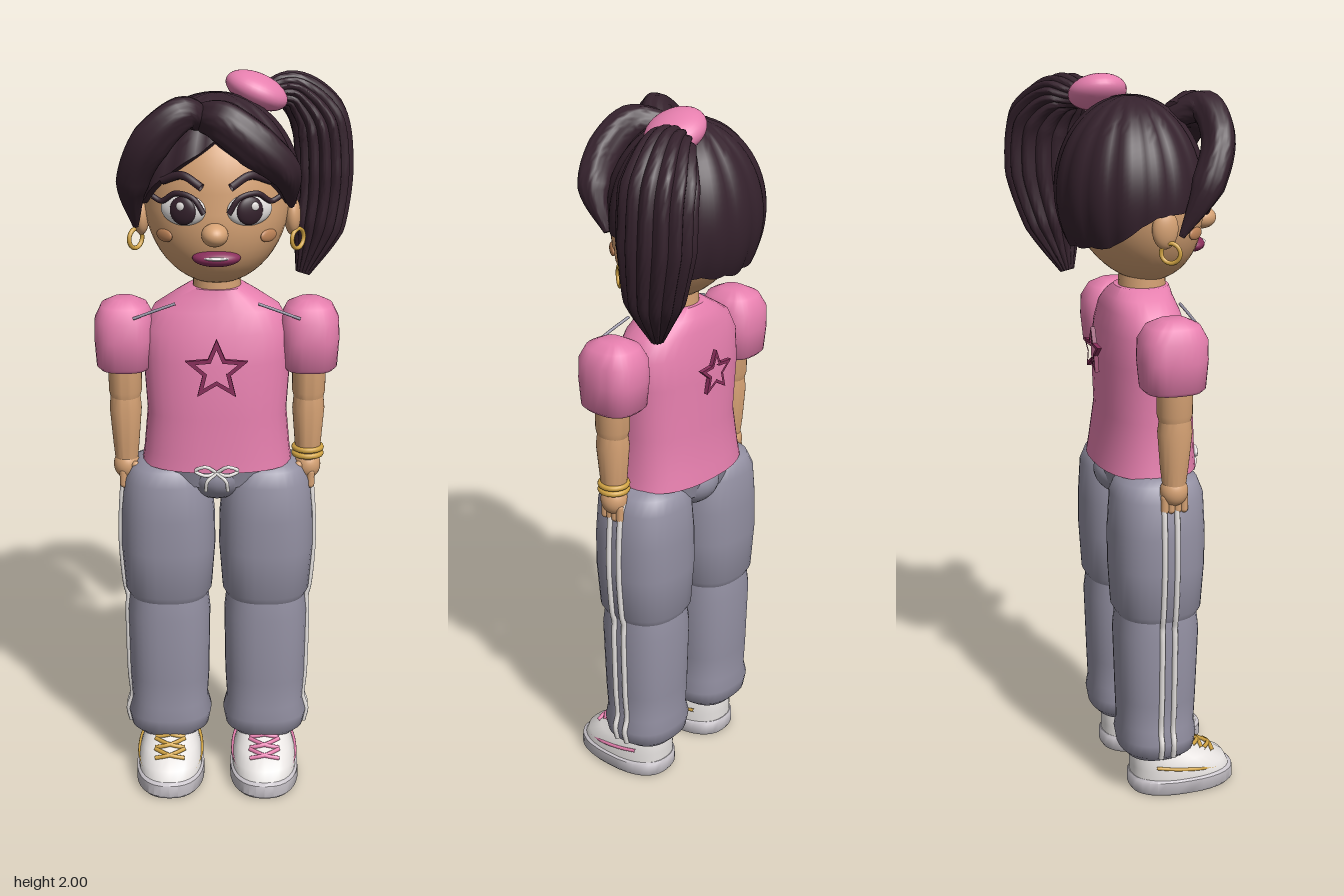
import * as THREE from 'three';
import { toCreasedNormals } from 'three/addons/utils/BufferGeometryUtils.js';

const V = (x, y, z) => new THREE.Vector3(x, y, z);
const material = (name, color, side = THREE.FrontSide) =>
  Object.assign(new THREE.MeshStandardMaterial({ color, side }), { name });

// Skin over a stack of closed rings, optionally capped at both ends
function skinRings(rings, caps = true) {
  const n = rings[0].length;
  if (caps) {
    const centre = r => {
      const c = r.reduce((a, p) => a.add(p), V(0, 0, 0)).divideScalar(n);
      return r.map(() => c);
    };
    rings = [centre(rings[0]), ...rings, centre(rings[rings.length - 1])];
  }
  const index = [];
  for (let j = 0; j < rings.length - 1; j++) for (let i = 0; i < n; i++) {
    const a = j * n + i, b = j * n + (i + 1) % n;
    index.push(a, b, b + n, a, b + n, a + n);
  }
  const g = new THREE.BufferGeometry().setFromPoints(rings.flat());
  g.setIndex(index);
  return toCreasedNormals(g, 0.8);
}

// Rows of [y, half width, front z, back z] with rounded-box cross-sections
function loft(rows, power = 2.4, n = 32) {
  const round = t => Math.sign(t) * Math.abs(t) ** (2 / power);
  return skinRings(rows.map(([y, hx, zf, zb]) => Array.from({ length: n }, (_, i) => {
    const a = i / n * Math.PI * 2;
    return V(hx * round(Math.sin(a)), y, (zf + zb) / 2 + (zf - zb) / 2 * round(Math.cos(a)));
  })));
}

// Lock of hair along a path; sizes are [radius along z, radius across], with grooves
function lock(points, sizes, grooves, depth, n = 44, steps = 28) {
  const curve = new THREE.CatmullRomCurve3(points.map(p => V(...p)));
  const rings = [];
  for (let j = 0; j <= steps; j++) {
    const t = j / steps, T = curve.getTangent(t), P = curve.getPoint(t);
    const N = V(0, 0, 1).addScaledVector(T, -T.z).normalize(), B = T.clone().cross(N);
    const f = t * (sizes.length - 1), k = Math.min(Math.floor(f), sizes.length - 2);
    const size = m => THREE.MathUtils.lerp(sizes[k][m], sizes[k + 1][m], f - k);
    rings.push(Array.from({ length: n }, (_, i) => {
      const a = i / n * Math.PI * 2, r = 1 - depth * (1 - Math.abs(Math.cos(a * grooves / 2)));
      return P.clone().addScaledVector(N, r * size(0) * Math.cos(a)).addScaledVector(B, r * size(1) * Math.sin(a));
    }));
  }
  return skinRings(rings);
}

const tube = (points, r, steps = 24) =>
  new THREE.TubeGeometry(new THREE.CatmullRomCurve3(points.map(p => V(...p))), steps, r, 8);

function starRing(R) {
  const outline = (shape, r) => {
    const pts = Array.from({ length: 10 }, (_, i) => {
      const a = i * Math.PI / 5, q = i % 2 ? r * 0.45 : r;
      return new THREE.Vector2(q * Math.sin(a), q * Math.cos(a));
    });
    return shape.setFromPoints(pts);
  };
  const star = outline(new THREE.Shape(), R);
  star.holes.push(outline(new THREE.Path(), R * 0.68));
  return new THREE.ExtrudeGeometry(star, { depth: 0.012, bevelEnabled: false });
}

export function createModel() {
  const skin = material('skin', 0xd6a274), blush = material('blush', 0xbd8358);
  const hair = material('dark hair', 0x35222d, THREE.DoubleSide);
  const pink = material('pink', 0xe67fae), berry = material('berry', 0x8a2f5c);
  const grey = material('grey cloth', 0x9390a2), white = material('white', 0xe9e5e3);
  const sole = material('pale grey', 0xc9c4ca), gold = material('gold', 0xd2a443);

  const model = new THREE.Group(), body = new THREE.Group();
  body.name = 'figure';
  body.position.x = -0.022;
  model.add(body);
  const add = (name, geo, mat, pos = [0, 0, 0], parent = body) => {
    const m = new THREE.Mesh(geo, mat);
    m.name = name;
    m.position.set(...pos);
    parent.add(m);
    return m;
  };
  const ball = (name, mat, pos, scale, parent = body) => {
    const m = add(name, new THREE.SphereGeometry(1, 32, 20), mat, pos, parent);
    m.scale.set(...scale);
    return m;
  };

  // Head with the jaw pushed forward
  const headGeo = new THREE.SphereGeometry(1, 40, 28).scale(0.195, 0.235, 0.18);
  const hp = headGeo.attributes.position;
  for (let i = 0; i < hp.count; i++) hp.setZ(i, hp.getZ(i) + 0.17 * Math.max(0, -hp.getY(i)));
  headGeo.computeVertexNormals();
  add('head', headGeo, skin, [0, 1.69, 0.01]);
  add('neck', new THREE.CylinderGeometry(0.062, 0.068, 0.16, 24), skin, [0, 1.43, 0.035]);

  // Hair cap: hairline height by angle from the front, ridged, open at the crown
  const line = [[0, 1.85], [0.2, 1.76], [0.35, 1.67], [0.5, 1.665], [0.7, 1.58], [1, 1.56]];
  const hairline = t => {
    const k = Math.max(1, line.findIndex(p => p[0] >= t)), [a, b] = [line[k - 1], line[k]];
    return THREE.MathUtils.lerp(a[1], b[1], (t - a[0]) / (b[0] - a[0]));
  };
  const capRings = [];
  for (let j = 0; j <= 24; j++) capRings.push(Array.from({ length: 96 }, (_, i) => {
    const phi = i / 96 * Math.PI * 2, t = Math.min(1, Math.abs(phi > Math.PI ? phi - 2 * Math.PI : phi) / Math.PI);
    const end = Math.acos((hairline(t) - 1.7) / 0.25);
    const th = THREE.MathUtils.lerp(end, 0.08, Math.max(0, j - 1) / 23);
    const r = (j === 0 ? 0.84 : 1) * (1 - 0.035 * Math.sin(th) * (1 - Math.abs(Math.cos(phi * 8))));
    return V(0.226 * r * Math.sin(th) * Math.sin(phi), 0.25 * r * Math.cos(th), 0.2 * r * Math.sin(th) * Math.cos(phi));
  }));
  add('hairCap', skinRings(capRings, false), hair, [-0.003, 1.7, 0]);

  // Swept fringe, parted above the right eye
  add('rightFringe', lock([[-0.03, 1.89, 0.1], [-0.085, 1.92, 0.175], [-0.165, 1.85, 0.185], [-0.215, 1.74, 0.14], [-0.213, 1.61, 0.07]],
    [[0.03, 0.03], [0.045, 0.045], [0.045, 0.055], [0.045, 0.045], [0.008, 0.008]], 6, 0.08), hair);
  add('leftFringe', lock([[-0.05, 1.9, 0.1], [0.015, 1.9, 0.175], [0.1, 1.84, 0.19], [0.175, 1.77, 0.16], [0.195, 1.67, 0.1]],
    [[0.03, 0.035], [0.045, 0.055], [0.045, 0.06], [0.045, 0.045], [0.008, 0.008]], 6, 0.08), hair);

  // Side ponytail and its band
  add('ponytail', lock([[0.12, 1.93, -0.07], [0.2, 1.935, -0.11], [0.272, 1.86, -0.145], [0.29, 1.72, -0.15], [0.275, 1.57, -0.13], [0.235, 1.44, -0.105]],
    [[0.03, 0.03], [0.075, 0.055], [0.112, 0.08], [0.115, 0.082], [0.085, 0.075], [0.02, 0.02]], 14, 0.14, 112, 36), hair);
  ball('hairBand', pink, [0.105, 1.945, -0.055], [0.087, 0.045, 0.078]).rotation.z = -0.4;

  // Nose and mouth
  ball('nose', skin, [-0.004, 1.615, 0.203], [0.035, 0.03, 0.04]);
  ball('lips', berry, [0, 1.548, 0.168], [0.063, 0.023, 0.04]);
  ball('teeth', white, [0, 1.552, 0.172], [0.045, 0.008, 0.042]);

  // Torso in a fitted shirt, pelvis below
  add('shirt', loft([[0.952, 0.206, 0.168, -0.106], [0.99, 0.2, 0.165, -0.1], [1.1, 0.19, 0.16, -0.085], [1.25, 0.2, 0.155, -0.09],
    [1.33, 0.2, 0.138, -0.08], [1.385, 0.17, 0.122, -0.07], [1.42, 0.115, 0.11, -0.06], [1.445, 0.075, 0.105, -0.04]]), pink);
  add('waist', loft([[0.9, 0.17, 0.14, -0.08], [0.965, 0.19, 0.155, -0.095]]), grey);
  ball('pelvis', grey, [0, 0.925, 0.03], [0.095, 0.085, 0.132]);
  add('frontStar', starRing(0.087), berry, [0, 1.245, 0.173]);
  add('backStar', starRing(0.065), berry, [0, 1.27, -0.11]);

  // Drawstring bow
  for (const s of [-1, 1]) {
    add('bowLoop', tube([[0, 0.955, 0.172], [s * 0.03, 0.975, 0.182], [s * 0.058, 0.962, 0.176], [s * 0.03, 0.95, 0.182], [0, 0.955, 0.172]], 0.005), white);
    add('bowEnd', tube([[0, 0.955, 0.175], [s * 0.025, 0.935, 0.185], [s * 0.03, 0.905, 0.178]], 0.005), white);
  }

  const cloth = (rows) => rows.map(([y, hx, hz = hx]) => [y, hx, 0.03 + hz, 0.03 - hz]);
  const mirrored = [[-1, 'right'], [1, 'left']];
  for (const [s, side] of mirrored) {
    const part = (name, x, y = 0, z = 0) => {
      const g = new THREE.Group();
      g.name = side + name;
      g.position.set(s * x, y, z);
      body.add(g);
      return g;
    };

    // Eye, lashes and brow
    const eye = part('Eye', 0.085, 1.675, 0.17);
    eye.rotation.y = s * 0.4;
    ball('eyeWhite', white, [0, 0, 0], [0.062, 0.042, 0.022], eye);
    ball('iris', hair, [-s * 0.006, 0, 0.016], [0.036, 0.037, 0.013], eye);
    ball('eyeGleam', white, [0.004, 0.013, 0.027], [0.011, 0.011, 0.004], eye);
    add('lashes', tube([[-s * 0.062, -0.005, 0.01], [-s * 0.035, 0.034, 0.016], [s * 0.015, 0.043, 0.016], [s * 0.055, 0.02, 0.012], [s * 0.08, 0.03, 0.012]], 0.0075), hair, [0, 0, 0], eye);
    add('brow', tube([[-s * 0.055, 0.062, 0.008], [0, 0.088, 0.004], [s * 0.06, 0.07, -0.004]], 0.011), hair, [0, 0, 0], eye);
    ball(side + 'Cheek', blush, [s * 0.135, 1.6, 0.137], [0.031, 0.017, 0.008]).rotation.y = s * 0.85;

    // Ear and hoop earring
    ball(side + 'Ear', skin, [s * 0.2, 1.63, 0.03], [0.022, 0.052, 0.035]);
    add(side + 'Earring', new THREE.TorusGeometry(0.026, 0.006, 8, 24), gold, [s * 0.215, 1.57, 0.04]).rotation.y = 0.9;

    // Puffed sleeve, arm and hand
    const arm = part('Arm', 0.25);
    add('sleeve', loft([[1.215, 0.066, 0.11, -0.04], [1.225, 0.076, 0.12, -0.05], [1.3, 0.081, 0.126, -0.058], [1.355, 0.079, 0.124, -0.056],
      [1.39, 0.062, 0.105, -0.035], [1.407, 0.03, 0.07, 0]], 2.6), pink, [0, 0, 0], arm);
    add('upperArm', loft([[1.13, 0.04, 0.085, 0], [1.15, 0.045, 0.09, -0.006], [1.25, 0.046, 0.09, -0.006]], 2), skin, [0, 0, 0], arm);
    add('forearm', loft([[0.94, 0.03, 0.072, 0.012], [1, 0.036, 0.08, 0.004], [1.1, 0.044, 0.09, -0.004], [1.145, 0.04, 0.084, 0.002]], 2), skin, [0, 0, 0], arm);
    ball('palm', skin, [0, 0.935, 0.042], [0.036, 0.042, 0.038], arm);
    for (let i = 0; i < 4; i++)
      add('finger', new THREE.CapsuleGeometry(0.011, 0.035, 4, 10), skin, [s * 0.008, 0.902, 0.014 + i * 0.018], arm);
    add('thumb', new THREE.CapsuleGeometry(0.012, 0.035, 4, 10), skin, [-s * 0.026, 0.922, 0.07], arm);
    if (s > 0) for (const y of [0.968, 0.985]) {
      add('bracelet', new THREE.TorusGeometry(0.037, 0.008, 8, 28), gold, [0, y, 0.042], arm).rotation.x = Math.PI / 2;
    }

    // Shoulder seam
    add(side + 'ShoulderSeam', tube([[s * 0.11, 1.408, 0.105], [s * 0.165, 1.39, 0.112], [s * 0.222, 1.37, 0.118]], 0.004), grey);

    // Trouser leg with two side stripes
    const leg = part('Leg', 0.137);
    add('thigh', loft(cloth([[0.545, 0.108], [0.57, 0.122], [0.7, 0.132, 0.13], [0.8, 0.13], [0.9, 0.12, 0.125], [0.94, 0.1, 0.11], [0.957, 0.07, 0.08]])), grey, [0, 0, 0], leg);
    add('shin', loft(cloth([[0.118, 0.085], [0.14, 0.112, 0.105], [0.18, 0.12, 0.112], [0.22, 0.109, 0.107], [0.3, 0.114, 0.11], [0.5, 0.117], [0.56, 0.11]])), grey, [0, 0, 0], leg);
    const seam = [[0.93, 0.108], [0.9, 0.12], [0.8, 0.13], [0.7, 0.132], [0.57, 0.122], [0.54, 0.115], [0.5, 0.117], [0.3, 0.114], [0.22, 0.109], [0.18, 0.12], [0.14, 0.112]];
    for (const z of [0.012, 0.048])
      add('sideStripe', tube(seam.map(([y, x]) => [s * x, y, z]), 0.008, 60), white, [0, 0, 0], leg);

    // Trainer: sole, upper, laces and trim
    const shoe = part('Shoe', 0.135), trim = s > 0 ? pink : gold;
    add('sole', loft([[0, 0.09, 0.255, -0.04], [0.01, 0.098, 0.264, -0.046], [0.042, 0.097, 0.262, -0.046], [0.048, 0.09, 0.255, -0.042]]), sole, [0, 0, 0], shoe);
    add('upper', loft([[0.045, 0.091, 0.252, -0.04], [0.075, 0.09, 0.238, -0.04], [0.1, 0.081, 0.19, -0.04], [0.13, 0.07, 0.125, -0.035], [0.15, 0.06, 0.1, -0.03]]), white, [0, 0, 0], shoe);
    for (let i = 0; i < 3; i++) for (const d of [-1, 1]) {
      const y = 0.095 + i * 0.015, z = 0.2 - i * 0.034;
      add('lace', tube([[-d * 0.042, y, z - 0.006], [0, y + 0.009, z - 0.006], [d * 0.042, y + 0.013, z - 0.036]], 0.006, 10), trim, [0, 0, 0], shoe);
    }
    for (const d of [-1, 1])
      add('shoeTrim', tube([[d * 0.072, 0.062, 0.19], [d * 0.088, 0.072, 0.13], [d * 0.088, 0.082, 0.06], [d * 0.08, 0.09, 0.01]], 0.005), trim, [0, 0, 0], shoe);
  }
  return model;
}
